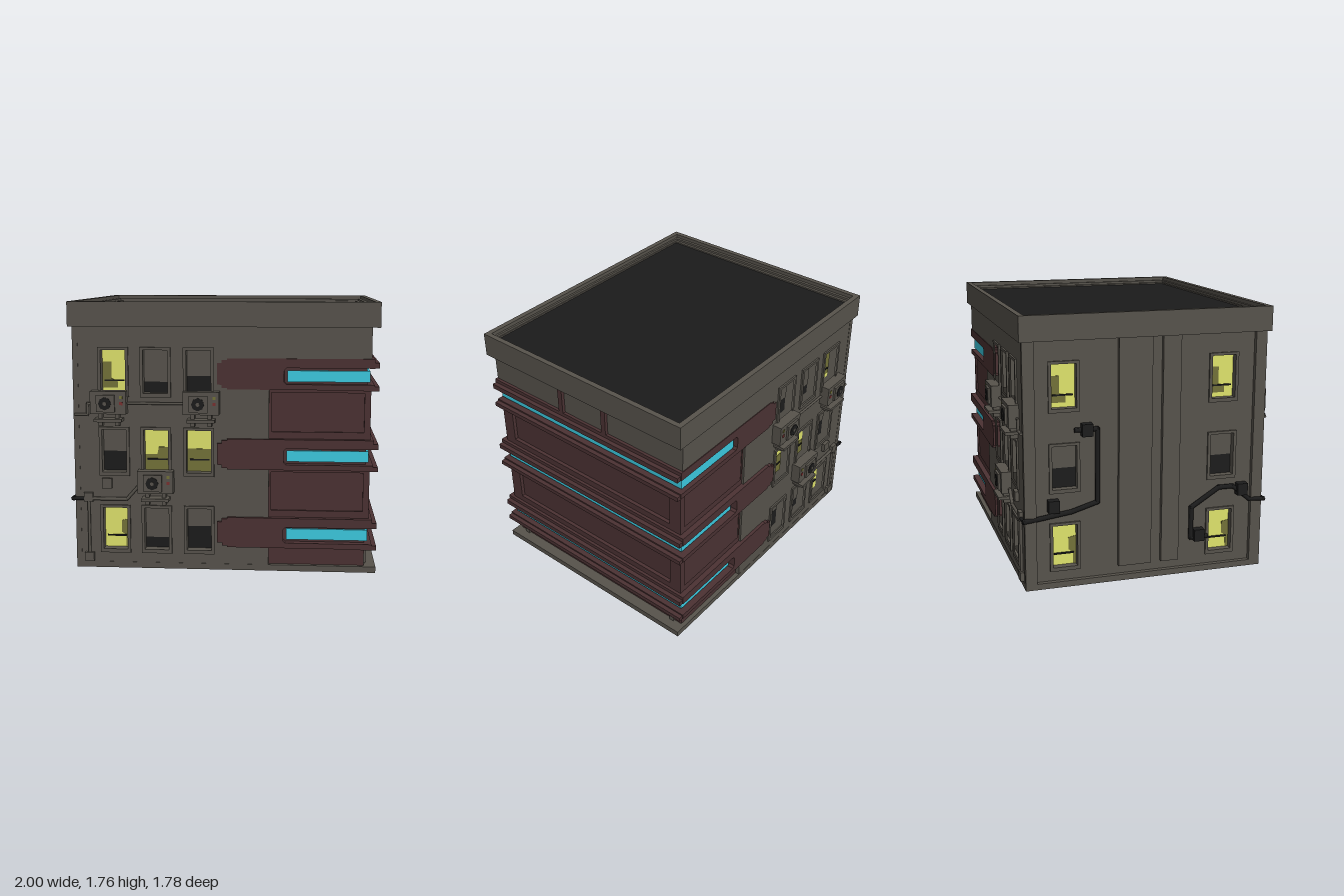
import * as THREE from 'three';

const mat = (name, color) => {
  const m = new THREE.MeshStandardMaterial({ color });
  m.name = name;
  return m;
};
const stone = mat('stone grey', 0x57534c);
const maroon = mat('maroon cladding', 0x4b3233);
const cyan = mat('cyan light', 0x3ccae0);
const roofing = mat('roof black', 0x1b1b1b);
const dark = mat('dark glass', 0x1c1c1c);
const lit = mat('lit yellow', 0xdfe36c);
const olive = mat('olive shade', 0x737239);
const red = mat('red lamp', 0x7a3030);

function mesh(parent, name, geo, material) {
  const m = new THREE.Mesh(geo, material);
  m.name = name;
  parent.add(m);
  return m;
}

// box from its extents
function box(parent, name, material, x0, x1, y0, y1, z0, z1) {
  const g = new THREE.BoxGeometry(Math.abs(x1 - x0), y1 - y0, z1 - z0);
  g.translate((x0 + x1) / 2, (y0 + y1) / 2, (z0 + z1) / 2);
  return mesh(parent, name, g, material);
}

const rect = (x0, x1, y0, y1) => [[x0, y0], [x1, y0], [x1, y1], [x0, y1]];
const vecs = (pts, m) => pts.map(([x, y]) => new THREE.Vector2(x * m, y));

// flat slab with optional holes, from z0 to z1; m = -1 flips it in x
function slab(parent, name, material, pts, z0, z1, m = 1, holes = []) {
  const s = new THREE.Shape(vecs(pts, m));
  holes.forEach((h) => s.holes.push(new THREE.Path(vecs(h, m))));
  const g = new THREE.ExtrudeGeometry(s, { depth: z1 - z0, bevelEnabled: false });
  g.translate(0, 0, z0);
  return mesh(parent, name, g, material);
}

// pipe run of straight pieces
function pipe(parent, material, pts, r, m = 1) {
  const v = pts.map(([x, y, z]) => new THREE.Vector3(x * m, y, z));
  for (let i = 1; i < v.length; i++) {
    const dir = v[i].clone().sub(v[i - 1]);
    const g = new THREE.CylinderGeometry(r, r, dir.length() + r, 6);
    g.applyQuaternion(new THREE.Quaternion().setFromUnitVectors(
      new THREE.Vector3(0, 1, 0), dir.normalize()));
    const c = v[i].clone().add(v[i - 1]).multiplyScalar(0.5);
    g.translate(c.x, c.y, c.z);
    mesh(parent, 'pipe', g, material);
  }
}

const ROWS = [0.13, 0.65, 1.17];
const W = 0.16, H = 0.28;
const opening = (cx, y) => rect(cx - W / 2, cx + W / 2, y, y + H);

// shaded shapes inside lit windows, measured from the lower left corner
const SHADES = {
  a: [[0, 0.03], [0.1, 0.03], [0.1, 0.07], [0.06, 0.09], [0.06, 0.2], [0, 0.2]],
  b: [[0, 0], [0.16, 0], [0.16, 0.16], [0.09, 0.16], [0.08, 0.11], [0, 0.11]],
  c: [[0, 0], [0.16, 0], [0.16, 0.15], [0, 0.15]],
  d: [[0.14, 0], [0.16, 0], [0.16, 0.19], [0.11, 0.18], [0.11, 0.1], [0.14, 0.08]],
};

// kind: a letter for a lit window, a number for the height of the dark gap
function windowUnit(parent, cx, y, kind, zBack, zWall, m) {
  const g = new THREE.Group();
  g.name = 'window';
  parent.add(g);
  const x0 = cx - W / 2;
  slab(g, 'windowFrame', stone, rect(cx - 0.1, cx + 0.1, y - 0.025, y + H + 0.018),
    zWall - 0.005, zWall + 0.012, m, [opening(cx, y)]);
  if (typeof kind === 'string') {
    slab(g, 'litPane', lit, opening(cx, y), zBack, zBack + 0.004, m);
    slab(g, 'curtain', olive, SHADES[kind].map(([a, b]) => [x0 + a, y + b]), zBack, zBack + 0.007, m);
    box(g, 'sashBar', dark, (x0 + 0.015) * m, (x0 + W - 0.015) * m, y + 0.073, y + 0.083, zBack, zBack + 0.014);
  } else {
    slab(g, 'darkPane', dark, rect(x0, x0 + W, y, y + kind), zBack, zBack + 0.004, m);
    slab(g, 'blind', stone, rect(x0, x0 + W, y + kind, y + H), zBack, zBack + 0.009, m);
  }
}

function airConditioner(parent, cx, cy, m) {
  const g = new THREE.Group();
  g.name = 'airConditioner';
  g.position.set(cx * m, cy, 0);
  parent.add(g);
  const b = (n, mt, x0, x1, y0, y1, z0, z1) => box(g, n, mt, x0 * m, x1 * m, y0, y1, z0, z1);
  b('unitBody', stone, -0.117, 0.117, -0.07, 0.078, 0.8, 0.87);
  b('fanPlate', stone, -0.075, 0.045, -0.055, 0.055, 0.87, 0.885);
  const fan = new THREE.CylinderGeometry(0.042, 0.042, 0.006, 8).rotateX(Math.PI / 2);
  fan.translate(-0.018 * m, 0, 0.886);
  mesh(g, 'fan', fan, dark);
  const hub = new THREE.CylinderGeometry(0.013, 0.013, 0.006, 8).rotateX(Math.PI / 2);
  hub.translate(-0.018 * m, 0, 0.889);
  mesh(g, 'fanHub', hub, stone);
  b('lamp', olive, 0.075, 0.095, 0.03, 0.05, 0.868, 0.874);
  b('lamp', red, 0.075, 0.095, -0.01, 0.01, 0.868, 0.874);
  b('shelf', stone, -0.09, 0.09, -0.12, -0.1, 0.8, 0.888);
  for (const x of [-0.055, 0.055]) {
    b('shelfLeg', stone, x - 0.013, x + 0.013, -0.15, -0.07, 0.8, 0.85);
  }
}

// bands: centre height and how far they reach in z
const BANDS = [[0.26, 0.825], [0.78, 0.825], [1.3, 0.808]];

// front or back: the second is the first mirrored in z
function facade(parent, m) {
  const g = new THREE.Group();
  g.name = m > 0 ? 'frontFacade' : 'backFacade';
  if (m < 0) g.rotation.y = Math.PI;
  parent.add(g);
  const cols = [-0.71, -0.435, -0.155];
  const kinds = [['d', 0.07, 0.15], [0.13, 'b', 'c'], ['a', 0.07, 0.11]];
  const holes = ROWS.flatMap((y) => cols.map((x) => opening(x, y)));
  slab(g, 'wall', stone, rect(-0.945, 0.3, 0.04, 1.6), 0.745, 0.803, m, holes);
  box(g, 'cornerPost', stone, -0.975 * m, -0.94 * m, 0.04, 1.6, 0.73, 0.805);
  ROWS.forEach((y, r) => cols.forEach((x, c) => windowUnit(g, x, y, kinds[r][c], 0.745, 0.803, m)));

  airConditioner(g, -0.735, 1.11, m);
  airConditioner(g, -0.135, 1.11, m);
  airConditioner(g, -0.435, 0.59, m);

  // pipes and junction boxes
  pipe(g, stone, [[-0.62, 1.105, 0.812], [-0.25, 1.105, 0.812]], 0.009, m);
  pipe(g, stone, [[-0.84, 1.1, 0.815], [-0.88, 1.1, 0.815], [-0.88, 1.03, 0.815], [-0.96, 1.03, 0.815]], 0.01, m);
  pipe(g, stone, [[-0.885, 0.5, 0.812], [-0.885, 0.05, 0.812]], 0.01, m);
  pipe(g, dark, [[-0.99, 0.47, 0.815], [-0.885, 0.47, 0.815]], 0.012, m);
  pipe(g, stone, [[-0.885, 0.47, 0.815], [-0.63, 0.47, 0.815], [-0.56, 0.55, 0.815], [-0.52, 0.55, 0.815]], 0.012, m);
  for (const [x, y, r] of [[-0.76, 0.575, 0.033], [-0.885, 0.48, 0.03], [-0.885, 0.075, 0.03]]) {
    box(g, 'junctionBox', stone, (x - r) * m, (x + r) * m, y - r, y + r, 0.8, 0.828);
  }

  // maroon bands with an open slot for the light
  for (const [c, reach] of BANDS) {
    const pts = [[0.97, 0.1], [0.03, 0.1], [0.03, 0.09], [-0.005, 0.09], [-0.005, 0.07], [-0.035, 0.07],
      [-0.035, -0.07], [-0.005, -0.07], [-0.005, -0.09], [0.03, -0.09], [0.03, -0.1], [0.97, -0.1],
      [0.97, -0.065], [0.41, -0.065], [0.395, -0.05], [0.395, 0.025], [0.41, 0.04], [0.97, 0.04]];
    slab(g, 'band', maroon, pts.map(([x, y]) => [x, y + c]), 0.765, reach, m);
  }
  // frames of the recessed cladding between the bands
  for (const [y0, y1] of [[0.36, 0.68], [0.88, 1.2]]) {
    slab(g, 'claddingFrame', maroon, rect(0.3, 0.95, y0, y1), 0.77, 0.788, m,
      [rect(0.315, 0.91, y0 + 0.045, y1 - 0.02)]);
  }
}

export function createModel() {
  const root = new THREE.Group();
  root.name = 'building';

  // main masses
  box(root, 'base', stone, -0.975, 1, 0, 0.04, -0.805, 0.805);
  box(root, 'core', stone, -0.905, 0.3, 0.03, 1.65, -0.745, 0.745);
  box(root, 'claddingCore', maroon, 0.3, 0.925, 0.04, 1.4, -0.775, 0.775);
  box(root, 'attic', stone, 0.3, 0.95, 1.39, 1.62, -0.803, 0.803);

  facade(root, 1);
  facade(root, -1);

  // window end wall, local x runs along world z
  const end = new THREE.Group();
  end.name = 'endWall';
  end.rotation.y = -Math.PI / 2;
  root.add(end);
  const cols = [-0.54, 0.52];
  slab(end, 'wall', stone, rect(-0.75, 0.75, 0.04, 1.6), 0.905, 0.945, 1,
    ROWS.flatMap((y) => cols.map((x) => opening(x, y))));
  ROWS.forEach((y, r) => cols.forEach((x) => windowUnit(end, x, y, ['d', 0.13, 'a'][r], 0.905, 0.945, 1)));
  for (const [x0, x1] of [[-0.19, 0.03], [0.1, 0.22]]) {
    box(end, 'pilaster', stone, x0, x1, 0.1, 1.6, 0.93, 0.975);
  }
  pipe(end, dark, [[-0.47, 1.03, 0.962], [-0.33, 1.03, 0.962], [-0.33, 0.55, 0.962],
    [-0.5, 0.5, 0.962], [-0.72, 0.47, 0.962], [-0.815, 0.47, 0.985]], 0.016);
  pipe(end, dark, [[0.815, 0.47, 0.985], [0.72, 0.47, 0.962], [0.6, 0.57, 0.962], [0.5, 0.57, 0.962],
    [0.31, 0.45, 0.962], [0.31, 0.24, 0.962], [0.42, 0.24, 0.962]], 0.016);
  for (const [x, y] of [[-0.62, 0.55], [-0.4, 1.03], [0.66, 0.55], [0.36, 0.26]]) {
    box(end, 'junctionBox', dark, x - 0.035, x + 0.035, y - 0.04, y + 0.04, 0.94, 0.998);
  }

  // bands, lips and lights across the clad end
  for (const [c, reach] of BANDS) {
    const r = reach - 0.005;
    box(root, 'lightStrip', cyan, 0.415, 0.942, c - 0.05, c + 0.022, -0.788, 0.788);
    box(root, 'bandUpper', maroon, 0.9, 0.97, c + 0.04, c + 0.1, -0.8, 0.8);
    box(root, 'bandLower', maroon, 0.9, 0.97, c - 0.1, c - 0.065, -0.8, 0.8);
    box(root, 'lipUpper', maroon, 0.9, 1, c + 0.04, c + 0.075, -r, r);
    box(root, 'lipLower', maroon, 0.9, 1, c - 0.105, c - 0.075, -r, r);
  }
  const clad = new THREE.Group();
  clad.name = 'cladEnd';
  clad.rotation.y = Math.PI / 2;
  root.add(clad);
  for (const [y0, y1] of [[0.36, 0.68], [0.88, 1.2]]) {
    slab(clad, 'claddingFrame', maroon, rect(-0.788, 0.788, y0, y1), 0.92, 0.95, 1,
      [rect(-0.7, 0.7, y0 + 0.045, y1 - 0.015)]);
  }
  for (const s of [-1, 1]) {
    box(root, 'footPost', stone, 0.91, 0.94, 0.04, 0.16, s * 0.7 - 0.018, s * 0.7 + 0.018);
    box(root, 'atticRib', maroon, 0.94, 0.972, 1.4, 1.59, s * 0.185 - 0.018, s * 0.185 + 0.018);
  }

  // stepped parapet around the roof; slabs are laid flat
  const top = new THREE.Group();
  top.name = 'parapet';
  top.rotation.x = -Math.PI / 2;
  root.add(top);
  const ring = (x, z) => rect(-x, x, -z, z);
  slab(top, 'parapetWall', stone, ring(1, 0.826), 1.6, 1.76, 1, [ring(0.965, 0.79)]);
  slab(top, 'parapetStep', stone, ring(0.97, 0.795), 1.6, 1.735, 1, [ring(0.945, 0.775)]);
  slab(top, 'parapetInnerStep', stone, ring(0.95, 0.78), 1.6, 1.72, 1, [ring(0.925, 0.768)]);
  box(root, 'roof', roofing, -0.93, 0.93, 1.69, 1.71, -0.772, 0.772);
  box(root, 'soffit', stone, -0.97, 0.97, 1.6, 1.69, -0.8, 0.8);
  return root;
}
